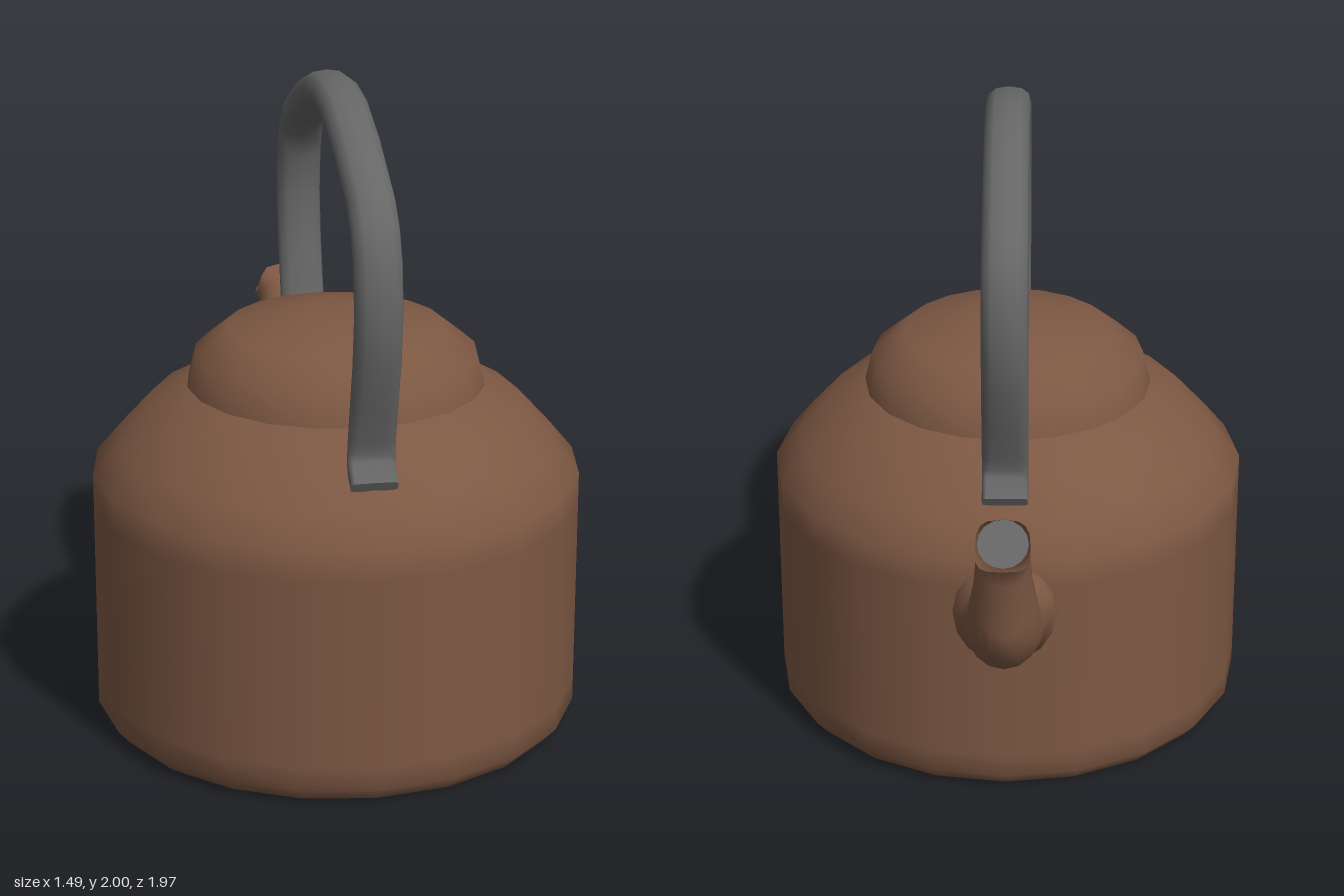
import * as THREE from 'three';

const brown = new THREE.MeshStandardMaterial({ color: 0x7d5843 });
brown.name = 'brown enamel';
brown.side = THREE.DoubleSide;
const grey = new THREE.MeshStandardMaterial({ color: 0x666666 });
grey.name = 'grey metal';
grey.side = THREE.DoubleSide;

const CENTRE_Z = 0.24;

// Ring: [outer z, outer y, inner z, inner y, half width, squareness power, side sag z, side sag y]
function ringPoints([az, ay, bz, by, w, power = 1, sagZ = 0, sagY = 0], sides) {
  const bend = v => Math.sign(v) * Math.abs(v) ** power;
  return Array.from({ length: sides }, (_, j) => {
    const t = (j / sides) * Math.PI * 2;
    const c = bend(Math.cos(t)), s = bend(Math.sin(t)), sag = Math.sin(t) ** 2;
    return [
      w * s,
      (ay + by) / 2 + (ay - by) / 2 * c + sagY * sag,
      (az + bz) / 2 + (az - bz) / 2 * c + sagZ * sag,
    ];
  });
}

// Smooth skin through a row of rings
function loft(rings, sides) {
  const pos = rings.flatMap(r => ringPoints(r, sides)).flat();
  const index = [];
  for (let i = 0; i < rings.length - 1; i++) {
    for (let j = 0; j < sides; j++) {
      const k = (j + 1) % sides;
      const a = i * sides + j, b = i * sides + k, c = a + sides, d = b + sides;
      index.push(a, b, c, b, d, c);
    }
  }
  return makeGeometry(pos, index);
}

// Flat fan closing one ring
function cap(ring, sides, flip = false) {
  const index = [];
  for (let j = 1; j < sides - 1; j++) index.push(0, ...(flip ? [j + 1, j] : [j, j + 1]));
  return makeGeometry(ringPoints(ring, sides).flat(), index);
}

function makeGeometry(pos, index) {
  const g = new THREE.BufferGeometry();
  g.setAttribute('position', new THREE.Float32BufferAttribute(pos, 3));
  g.setIndex(index);
  g.computeVertexNormals();
  return g;
}

function lathe(profile) {
  return new THREE.LatheGeometry(profile.map(([r, y]) => new THREE.Vector2(r, y)), 20);
}

export function createModel() {
  const model = new THREE.Group();
  model.name = 'kettle';
  const add = (name, geometry, material) => {
    const mesh = new THREE.Mesh(geometry, material);
    mesh.name = name;
    model.add(mesh);
    return mesh;
  };

  // Pot with bevelled foot and sloping shoulder
  add('body', lathe([
    [0, 0], [0.67, 0], [0.705, 0.004], [0.745, 0.05], [0.745, 0.12], [0.745, 0.7],
    [0.745, 0.8], [0.67, 0.89], [0.57, 1.0], [0.45, 1.067], [0.4, 1.08],
  ]), brown).position.z = CENTRE_Z;

  // Domed lid
  add('lid', lathe([
    [0.455, 1.06], [0.43, 1.16], [0.33, 1.24], [0.13, 1.285], [0, 1.285],
  ]), brown).position.z = CENTRE_Z;

  // Curved spout with collar and open beak
  const spout = [
    [-0.45, 0.79, -0.45, 0.455, 0.16],
    [-0.51, 0.785, -0.51, 0.46, 0.155],
    [-0.53, 0.755, -0.535, 0.495, 0.13],
    [-0.585, 0.755, -0.62, 0.51, 0.118],
    [-0.625, 0.80, -0.71, 0.55, 0.115],
    [-0.645, 0.86, -0.78, 0.63, 0.105],
    [-0.667, 0.94, -0.807, 0.71, 0.09],
    [-0.70, 1.01, -0.812, 0.88, 0.08],
    [-0.76, 1.075, -0.855, 0.965, 0.075],
    [-0.84, 1.115, -0.98, 1.02, 0.08, 0.6, 0.07, -0.045],
  ];
  add('spout', loft(spout, 16), brown);
  add('spoutInside', cap(spout[8], 16), grey);

  // Bail handle: front half from foot to crown, then mirrored to the back
  const half = [
    [0.88, 0.965, 0.865, 0.935, 0.07, 0.3],
    [0.838, 1.015, 0.808, 0.965, 0.07, 0.3],
    [0.84, 1.04, 0.80, 1.03, 0.07, 0.5],
    [0.848, 1.075, 0.807, 1.07, 0.07, 0.7],
    [0.885, 1.18, 0.825, 1.17, 0.07, 0.8],
    [0.938, 1.33, 0.86, 1.32, 0.07, 0.8],
    [0.966, 1.49, 0.875, 1.47, 0.07, 0.8],
    [0.945, 1.64, 0.862, 1.60, 0.07, 0.8],
    [0.90, 1.735, 0.82, 1.68, 0.07, 0.8],
    [0.83, 1.805, 0.76, 1.73, 0.07, 0.8],
    [0.60, 1.92, 0.56, 1.825, 0.07, 0.8],
    [0.40, 1.985, 0.385, 1.885, 0.07, 0.8],
  ];
  const crown = [0.235, 2.0, 0.235, 1.9, 0.07, 0.8];
  const mirrored = half.map(([az, ay, bz, by, ...rest]) => [0.47 - az, ay, 0.47 - bz, by, ...rest]).reverse();
  const handle = [...half, crown, ...mirrored];
  add('handle', loft(handle, 12), grey);
  add('handleFrontEnd', cap(handle[0], 12, true), grey);
  add('handleBackEnd', cap(handle[handle.length - 1], 12), grey);

  return model;
}
